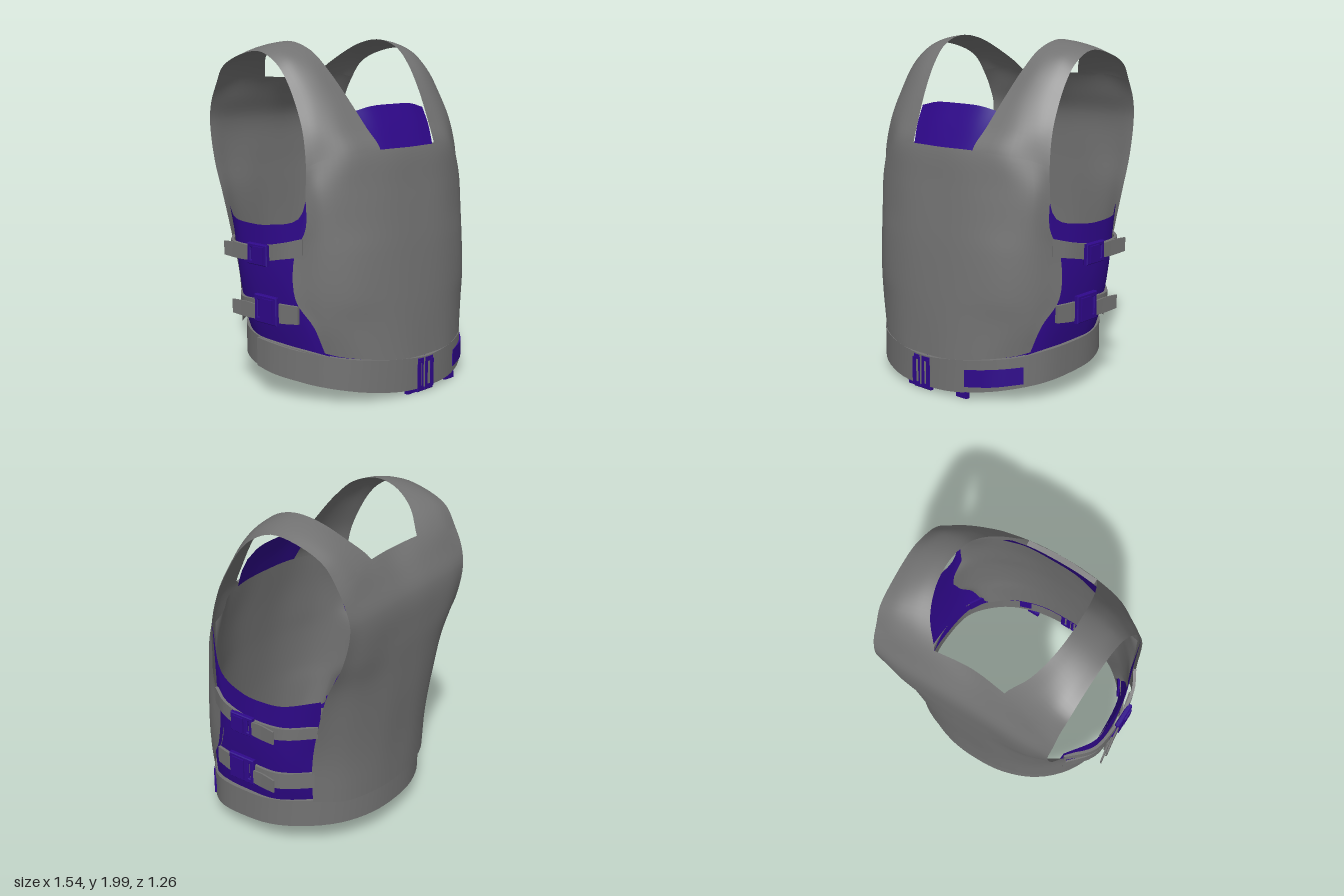
import * as THREE from 'three';

const GREY = 0x727272, PURPLE = 0x2f088b;
const V = (p) => new THREE.Vector3(...p);
const mat = (color) => new THREE.MeshStandardMaterial({ color, side: THREE.DoubleSide });
const curve = (pts, closed = false) => new THREE.CatmullRomCurve3(pts, closed);

function mesh(name, geometry, color) {
  const m = new THREE.Mesh(geometry, mat(color));
  m.name = name;
  return m;
}

// Smooth surface through rows of points; rows outside first..last only shape the normals
function gridGeometry(rows, first = 0, last = rows.length - 1) {
  const n = rows[0].length, pos = [], idx = [];
  rows.forEach((r) => r.forEach((p) => pos.push(p.x, p.y, p.z)));
  for (let i = 0; i < rows.length - 1; i++) {
    for (let j = 0; j < n - 1; j++) {
      const a = i * n + j, b = a + n;
      idx.push(a, a + 1, b, a + 1, b + 1, b);
    }
  }
  const g = new THREE.BufferGeometry();
  g.setAttribute('position', new THREE.Float32BufferAttribute(pos, 3));
  g.setIndex(idx);
  g.computeVertexNormals();
  const perRow = (n - 1) * 6;
  g.setIndex(idx.slice(first * perRow, last * perRow));
  return g.toNonIndexed();
}

// Cloth through rows of control points [x, y, z]; before/after count guide rows that are not drawn
function sheet(name, rows, color, nu = 16, before = 0, after = 0) {
  const k = 5, segments = rows.length - 1;
  const across = rows.map((r) => curve(r.map(V)).getPoints(nu));
  const down = across[0].map((_, j) => curve(across.map((r) => r[j])).getPoints(segments * k));
  const lines = down[0].map((_, i) => down.map((col) => col[i]));
  return mesh(name, gridGeometry(lines, Math.round(before * k), Math.round((segments - after) * k)), color);
}

// Full row from its +x half, which starts on the centre line
const mirrorRow = (r) => [...r.slice(1).reverse().map(([x, y, z]) => [-x, y, z]), ...r];
const flip = (s) => ([x, ...rest]) => [s * x, ...rest];

// Webbing of rectangular section along points [x, yLow, yHigh, z]
function ribbon(name, pts, thick, color, closed = false) {
  const lo = curve(pts.map(([x, y, , z]) => V([x, y, z])), closed);
  const hi = curve(pts.map(([x, , y, z]) => V([x, y, z])), closed);
  const n = pts.length * 4, rings = [];
  for (let i = 0; i <= n; i++) {
    const t = i / n, d = lo.getTangent(t);
    const out = new THREE.Vector3(d.z, 0, -d.x).normalize().multiplyScalar(thick / 2);
    const a = lo.getPoint(t), b = hi.getPoint(t);
    rings.push([a.clone().add(out), b.clone().add(out), b.clone().sub(out), a.clone().sub(out)]);
  }
  const group = new THREE.Group();
  group.name = name;
  for (let k = 0; k < 4; k++) {
    group.add(mesh(name + 'Face', gridGeometry(rings.map((r) => [r[k], r[(k + 1) % 4]])), color));
  }
  if (!closed) {
    for (const r of [rings[0], rings[n]]) {
      group.add(mesh(name + 'End', gridGeometry([[r[0], r[1]], [r[3], r[2]]]), color));
    }
  }
  return group;
}

// Buckle lying in its local xy plane: slotted frame plus a raised body
function buckle(name, w, h, slotX, bodyX, bodyW) {
  const rect = (s, x, y, a, b) =>
    s.moveTo(x - a, y - b).lineTo(x + a, y - b).lineTo(x + a, y + b).lineTo(x - a, y + b).closePath();
  const shape = rect(new THREE.Shape(), 0, 0, w / 2, h / 2);
  shape.holes.push(rect(new THREE.Path(), slotX, 0, 0.011, h * 0.36));
  const frame = new THREE.ExtrudeGeometry(shape, { depth: 0.02, bevelSize: 0.005, bevelThickness: 0.005, bevelSegments: 1 });
  const group = new THREE.Group();
  group.name = name;
  const body = mesh('buckleBody', new THREE.BoxGeometry(bodyW, h * 0.85, 0.04), PURPLE);
  body.position.set(bodyX, 0, 0.014);
  group.add(mesh('buckleFrame', frame, PURPLE), body);
  return group;
}

export function createModel() {
  const model = new THREE.Group();
  model.name = 'vest';

  // Front panel, bottom to top, with a guide row leading into the straps
  const front = [
    [[0, .23, .62], [.2, .235, .605], [.4, .26, .525], [.52, .28, .425], [.575, .3, .365]],
    [[0, .46, .607], [.25, .46, .58], [.45, .46, .495], [.57, .46, .4], [.625, .45, .33]],
    [[0, .6, .595], [.25, .6, .572], [.46, .6, .495], [.6, .6, .375], [.678, .6, .24]],
    [[0, .85, .567], [.25, .85, .55], [.46, .85, .48], [.6, .85, .37], [.67, .84, .225]],
    [[0, 1, .545], [.25, 1, .53], [.46, 1, .46], [.585, 1, .38], [.645, 1, .29]],
    [[0, 1.2, .512], [.25, 1.2, .5], [.46, 1.2, .435], [.59, 1.2, .36], [.645, 1.18, .29]],
    [[0, 1.41, .475], [.23, 1.41, .46], [.42, 1.395, .42], [.56, 1.37, .34], [.64, 1.33, .29]],
    [[0, 1.53, .42], [.265, 1.53, .385], [.43, 1.53, .355], [.55, 1.525, .3], [.625, 1.52, .25]],
  ];
  model.add(sheet('frontPanel', front.map(mirrorRow), GREY, 32, 0, 1));
  model.add(sheet('frontPanelTopEdge', [
    [[-.23, 1.41, .46], [0, 1.41, .475], [.23, 1.41, .46]],
    [[-.23, 1.4, .43], [0, 1.4, .435], [.23, 1.4, .43]],
  ], GREY, 8));
  // Inner face of the padded front
  const inner = front.slice(0, -1).map((r) => r.map(([x, y, z], i) => [x * .95, y, i < 4 ? z - .045 : z]));
  model.add(sheet('frontInnerLining', inner.map(mirrorRow), GREY, 32));

  // Back panel from a guide row above the neckline down to the hem
  const back = [
    [[0, 1.89, -.4], [.28, 1.9, -.39], [.46, 1.89, -.43], [.585, 1.85, -.46]],
    [[0, 1.77, -.475], [.22, 1.78, -.5], [.42, 1.78, -.525], [.575, 1.75, -.53]],
    [[0, 1.65, -.555], [.2, 1.65, -.57], [.42, 1.65, -.58], [.57, 1.64, -.585]],
    [[0, 1.52, -.615], [.2, 1.52, -.62], [.42, 1.52, -.622], [.56, 1.52, -.612]],
    [[0, 1.3, -.622], [.2, 1.3, -.62], [.42, 1.3, -.612], [.565, 1.3, -.57]],
    [[0, 1.1, -.612], [.2, 1.1, -.605], [.42, 1.1, -.565], [.58, 1.1, -.48]],
    [[0, .9, -.6], [.2, .9, -.59], [.42, .9, -.53], [.575, .9, -.42]],
    [[0, .6, -.577], [.2, .6, -.565], [.41, .6, -.49], [.56, .62, -.36]],
    [[0, .33, -.567], [.2, .33, -.55], [.4, .33, -.48], [.55, .35, -.355]],
  ];
  model.add(sheet('backPanel', back.map(mirrorRow), GREY, 32, 1, 0));

  // Collar flap behind the front neckline
  model.add(sheet('collarFlap', [
    [[0, 1.39, .445], [.15, 1.39, .44], [.26, 1.39, .425]],
    [[0, 1.52, .39], [.16, 1.52, .385], [.29, 1.51, .365]],
    [[0, 1.645, .33], [.17, 1.64, .325], [.31, 1.61, .3]],
  ].map(mirrorRow), PURPLE));

  // Shoulder strap, neck edge to arm edge, with a guide row in each panel
  const strap = [
    [[.24, 1.2, .5], [.46, 1.2, .435], [.59, 1.2, .36], [.645, 1.18, .29]],
    [[.23, 1.41, .46], [.42, 1.395, .42], [.56, 1.37, .34], [.64, 1.33, .29]],
    [[.265, 1.53, .385], [.43, 1.53, .355], [.55, 1.525, .3], [.625, 1.52, .25]],
    [[.31, 1.7, .275], [.42, 1.7, .26], [.52, 1.695, .225], [.612, 1.68, .175]],
    [[.345, 1.85, .16], [.44, 1.845, .155], [.53, 1.83, .13], [.606, 1.8, .1]],
    [[.365, 1.95, .05], [.45, 1.94, .045], [.53, 1.92, .035], [.6, 1.88, .02]],
    [[.375, 2, -.1], [.45, 1.99, -.105], [.53, 1.97, -.115], [.596, 1.945, -.12]],
    [[.36, 1.98, -.25], [.44, 1.97, -.27], [.52, 1.95, -.29], [.59, 1.92, -.31]],
    [[.31, 1.9, -.39], [.41, 1.895, -.42], [.5, 1.88, -.445], [.585, 1.85, -.46]],
    [[.22, 1.78, -.5], [.35, 1.782, -.518], [.475, 1.775, -.53], [.575, 1.75, -.53]],
    [[.2, 1.65, -.57], [.34, 1.65, -.578], [.46, 1.65, -.582], [.57, 1.64, -.585]],
  ];

  // Side wing: top edge, two middles, bottom edge, each front to back
  const wing = [
    [[.625, 1.33, .3], [.64, 1.05, .235], [.69, .995, .03], [.695, .99, -.12], [.68, 1, -.25], [.57, 1.04, -.43]],
    [[.61, .8, .3], [.655, .75, .2], [.685, .7, .03], [.688, .7, -.12], [.655, .7, -.25], [.53, .7, -.39]],
    [[.575, .45, .365], [.625, .45, .26], [.655, .45, .05], [.655, .45, -.12], [.615, .45, -.24], [.5, .45, -.38]],
    [[.54, .22, .38], [.59, .23, .27], [.615, .25, .05], [.61, .26, -.12], [.56, .28, -.24], [.47, .3, -.37]],
  ];

  const upper = [[.645, .84, .94, .27], [.7, .82, .91, .16], [.72, .79, .88, 0],
    [.715, .79, .87, -.15], [.685, .8, .87, -.27], [.56, .8, .87, -.4]];
  const lower = [[.665, .46, .56, .25], [.69, .45, .56, .12], [.695, .46, .56, -.04],
    [.67, .45, .55, -.2], [.54, .45, .55, -.36]];

  for (const s of [1, -1]) {
    const side = s > 0 ? 'left' : 'right';
    const m = flip(s);
    // The strap laps slightly over both panels
    model.add(sheet(side + 'ShoulderStrap', strap.map((r) => r.map(m)), GREY, 12, .8, .8));
    model.add(sheet(side + 'SideWing', wing.map((r) => r.map(m)), PURPLE, 24));
    model.add(ribbon(side + 'UpperSideStrap', upper.map(m), .018, GREY));
    model.add(ribbon(side + 'LowerSideStrap', lower.map(m), .018, GREY));
    // Loose strap tails
    model.add(ribbon(side + 'UpperTail', [[.74, .79, .87, -.06], [.75, .79, .88, -.15], [.765, .8, .88, -.25]].map(m), .01, GREY));
    model.add(ribbon(side + 'LowerTail', [[.71, .45, .53, -.03], [.72, .45, .54, -.12], [.735, .46, .54, -.22]].map(m), .01, GREY));
    // Side release buckles
    for (const [n, x, y, z, w, h] of [['Upper', .722, .83, 0, .15, .11], ['Lower', .695, .515, .035, .17, .15]]) {
      const b = buckle(side + n + 'Buckle', w, h, s * (w / 2 - .028), -s * .02, w * .5);
      b.position.set(s * x, y, z);
      b.rotation.y = s * Math.PI / 2;
      model.add(b);
    }
  }

  // Waist belt, tilted down to the front and tucked under the back hem
  const half = [[.2, .045, .235, .592], [.4, .07, .255, .513], [.535, .095, .275, .395], [.612, .115, .3, .275],
    [.638, .13, .31, .1], [.628, .145, .32, -.1], [.555, .165, .34, -.285], [.4, .17, .35, -.44], [.2, .17, .35, -.523]];
  const loop = [[0, .04, .22, .612], ...half, [0, .17, .35, -.543], ...half.map(flip(-1)).reverse()];
  model.add(ribbon('belt', loop, .025, GREY, true));
  model.add(ribbon('beltOverlap', [[-.59, .11, .285, .335], [-.655, .13, .305, .2],
    [-.69, .15, .325, .06], [-.69, .17, .335, -.06]], .015, GREY));

  // Lining that peeks out under the front hem
  const lining = [[0, .19, .28, .592], [.2, .2, .285, .574], [.4, .22, .3, .492], [.52, .24, .33, .385], [.58, .25, .35, .28]];
  model.add(ribbon('hemLining', [...lining.slice(1).reverse().map(flip(-1)), ...lining], .012, PURPLE));

  // Belt patch and front buckle halves
  model.add(ribbon('beltPatch', [[.27, .085, .185, .574], [.42, .1, .2, .508], [.55, .12, .215, .393]], .03, PURPLE));
  for (const [x, w] of [[-.06, .045], [.01, .065]]) {
    const b = buckle('beltBuckle', w, .19, 0, x < 0 ? -.017 : .022, .018);
    b.position.set(x, .118, .6);
    model.add(b);
  }
  for (const [x, z] of [[-.11, .592], [.25, .57]]) {
    const tab = mesh('beltTab', new THREE.BoxGeometry(.08, .04, .025), PURPLE);
    tab.position.set(x, .035, z);
    model.add(tab);
  }
  return model;
}
